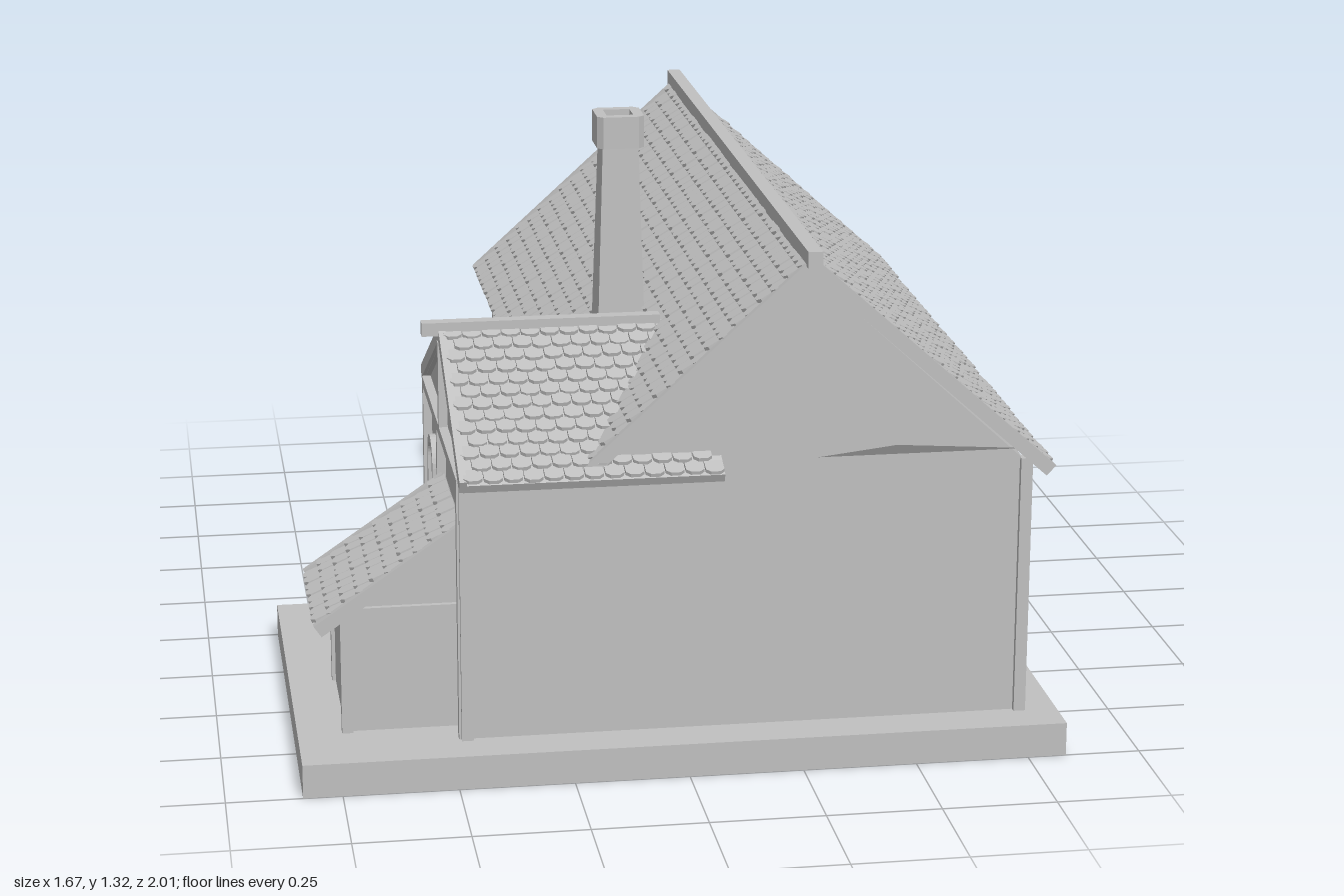
import * as THREE from 'three';
import { mergeGeometries } from 'three/addons/utils/BufferGeometryUtils.js';

const stone = new THREE.MeshStandardMaterial({ color: 0xc0c0c0, flatShading: true });
stone.name = 'paleGrey';

let seed = 7;
const rand = () => (seed = (seed * 16807) % 2147483647) / 2147483647;

function add(parent, name, geo, x = 0, y = 0, z = 0) {
  const m = new THREE.Mesh(geo, stone);
  m.name = name;
  m.position.set(x, y, z);
  parent.add(m);
  return m;
}
const box = (parent, name, w, h, d, x, y, z) => add(parent, name, new THREE.BoxGeometry(w, h, d), x, y, z);

// bar in the wall plane between two points
function beam(parent, name, x1, y1, x2, y2, t = 0.022, d = 0.02) {
  const m = box(parent, name, Math.hypot(x2 - x1, y2 - y1), t, d, (x1 + x2) / 2, (y1 + y2) / 2, d / 2);
  m.rotation.z = Math.atan2(y2 - y1, x2 - x1);
}

const polygon = pts => new THREE.Shape(pts.map(p => new THREE.Vector2(...p)));
const extrude = (shape, depth) => new THREE.ExtrudeGeometry(shape, { depth, bevelEnabled: false, curveSegments: 8 });

function group(parent, name, x = 0, y = 0, z = 0, ry = 0) {
  const g = new THREE.Group();
  g.name = name;
  g.position.set(x, y, z);
  g.rotation.y = ry;
  parent.add(g);
  return g;
}

// one roof slope: boards, rounded shingles and edge trims; z runs down the slope
function roofSlope(parent, name, width, run, drop, x, y, z, ry, trims = [-1, 1]) {
  const g = group(parent, name, x, y, z);
  g.rotation.set(Math.atan2(drop, run), ry, 0, 'YXZ');
  const len = Math.hypot(run, drop);
  box(g, 'roofBoards', width, 0.02, len, 0, -0.02, len / 2);
  const rows = Math.round(len / 0.037), cols = Math.round(width / 0.042);
  const pitch = len / rows, cw = width / cols, hw = cw * 0.46;
  const s = new THREE.Shape();
  s.moveTo(-hw, -pitch * 0.6);
  s.lineTo(hw, -pitch * 0.6);
  s.lineTo(hw, pitch * 0.3);
  s.lineTo(hw * 0.5, pitch * 0.55);
  s.lineTo(-hw * 0.5, pitch * 0.55);
  s.lineTo(-hw, pitch * 0.3);
  const tile = extrude(s, 0.008).rotateX(Math.PI / 2 - 0.2);
  const tiles = [];
  for (let r = 0; r < rows; r++) {
    const odd = r % 2;
    for (let c = 0; c < cols - odd; c++) {
      tiles.push(tile.clone().translate(-width / 2 + (c + 0.5 + odd / 2) * cw, rand() * 0.004 - 0.002, (r + 0.5) * pitch));
    }
  }
  add(g, 'shingles', mergeGeometries(tiles));
  for (const t of trims) box(g, 'edgeTrim', 0.016, 0.03, len, t * width / 2, -0.014, len / 2);
}

// courses of irregular stones on a wall plane
function stonework(parent, x1, x2, y1, y2) {
  const list = [], rows = Math.round((y2 - y1) / 0.04), h = (y2 - y1) / rows;
  for (let r = 0; r < rows; r++) {
    let x = x1;
    while (x < x2 - 0.01) {
      const w = Math.min(0.05 + rand() * 0.045, x2 - x), d = 0.01 + rand() * 0.006;
      list.push(new THREE.BoxGeometry(w - 0.006, h - 0.006, d).translate(x + w / 2, y1 + (r + 0.5) * h, d / 2));
      x += w;
    }
  }
  add(parent, 'stonework', mergeGeometries(list));
}

// outline with a round head, base at y = 0
function arch(target, w, h) {
  target.moveTo(-w / 2, 0);
  target.lineTo(w / 2, 0);
  target.lineTo(w / 2, h - w / 2);
  target.absarc(0, h - w / 2, w / 2, 0, Math.PI, false);
  target.lineTo(-w / 2, 0);
  return target;
}
function archedWindow(parent, x, y, w, h) {
  const g = group(parent, 'archedWindow', x, y, 0);
  const frame = arch(new THREE.Shape(), w, h);
  const hole = new THREE.Path(arch(new THREE.Shape(), w - 0.036, h - 0.036).getPoints(8).map(p => p.setY(p.y + 0.018)).reverse());
  frame.holes.push(hole);
  add(g, 'windowFrame', extrude(frame, 0.02));
  add(g, 'pane', extrude(arch(new THREE.Shape(), w - 0.02, h - 0.01), 0.005));
  box(g, 'mullion', 0.009, h - 0.02, 0.012, 0, h / 2, 0.006);
  for (const k of [0.33, 0.62]) box(g, 'glazingBar', w - 0.03, 0.008, 0.012, 0, h * k, 0.006);
  box(g, 'sill', w + 0.02, 0.014, 0.03, 0, 0, 0.015);
}

export function createModel() {
  const house = new THREE.Group();
  house.name = 'cottage';

  // L-shaped foundation and steps
  const base = polygon([[-0.835, -1], [0.835, -1], [0.835, 0.955], [-0.14, 0.955], [-0.14, 0], [-0.835, 0]]);
  add(house, 'foundation', extrude(base, 0.075).rotateX(-Math.PI / 2));
  for (let i = 0; i < 3; i++) box(house, 'step', 0.215, 0.012, 0.036, -0.615, 0.062 - i * 0.02, -0.018 - i * 0.033);

  // wall masses
  add(house, 'mainWalls', extrude(polygon([[-0.12, 0.07], [0.75, 0.07], [0.75, 0.65], [0.27, 1.085], [-0.12, 0.731]]), 1.75), 0, 0, -0.85);
  add(house, 'frontGable', extrude(polygon([[-0.21, 0.655], [0.75, 0.65], [0.27, 1.09]]), 0.025), 0, 0, 0.877);
  add(house, 'sideWingWalls', extrude(polygon([[0.12, 0.07], [0.9, 0.07], [0.9, 0.67], [0.515, 0.86], [0.12, 0.665]]), 0.57).rotateY(-Math.PI / 2), 0.1);
  add(house, 'leanToWalls', extrude(polygon([[-0.73, 0.07], [-0.46, 0.07], [-0.46, 0.52], [-0.73, 0.335]]), 0.32), 0, 0, 0.5);
  const sliver = new THREE.BufferGeometry();
  sliver.setAttribute('position', new THREE.Float32BufferAttribute(
    [0.29, 0.68, 0.903, 0.75, 0.68, 0.903, 0.46, 0.705, 0.918], 3));
  sliver.computeVertexNormals();
  add(house, 'gableSliver', sliver);

  // roofs and ridge beams
  roofSlope(house, 'mainRoofRight', 1.84, 0.54, 0.485, 0.27, 1.13, 0, Math.PI / 2);
  roofSlope(house, 'mainRoofLeft', 1.84, 0.53, 0.48, 0.27, 1.13, 0, -Math.PI / 2);
  box(house, 'mainRidge', 0.032, 0.036, 1.9, 0.27, 1.13, 0);
  roofSlope(house, 'wingRoofFront', 0.56, 0.445, 0.218, -0.2, 0.895, 0.515, 0, [-1]);
  roofSlope(house, 'wingRoofBack', 0.56, 0.445, 0.218, -0.2, 0.895, 0.515, Math.PI, [1]);
  box(house, 'wingRidge', 0.53, 0.03, 0.03, -0.26, 0.892, 0.515);
  roofSlope(house, 'leanToRoof', 0.36, 0.315, 0.215, -0.48, 0.545, 0.66, -Math.PI / 2);

  // tapered chimney with a hollow cap
  const shaft = new THREE.CylinderGeometry(0.057, 0.083, 0.6, 4).rotateY(Math.PI / 4);
  add(house, 'chimneyShaft', shaft, -0.058, 0.95, 0.315);
  const cap = polygon([[-0.053, -0.04], [-0.04, -0.053], [0.04, -0.053], [0.053, -0.04], [0.053, 0.04], [0.04, 0.053], [-0.04, 0.053], [-0.053, 0.04]]);
  cap.holes.push(new THREE.Path(polygon([[-0.03, -0.03], [-0.03, 0.03], [0.03, 0.03], [0.03, -0.03]]).getPoints()));
  add(house, 'chimneyCap', extrude(cap, 0.072).rotateX(-Math.PI / 2), -0.058, 1.248, 0.315);

  // corner posts
  for (const [x, z] of [[0.75, 0.9], [0.75, -0.84], [-0.472, 0.9], [-0.472, 0.125]]) {
    box(house, 'cornerPost', 0.026, 0.59, 0.026, x, 0.365, z);
  }
  box(house, 'eavePost', 0.024, 0.68, 0.024, -0.2, 0.345, -0.915);
  box(house, 'postTie', 0.1, 0.02, 0.02, -0.16, 0.36, -0.9);
  box(house, 'eavePlate', 0.02, 0.02, 0.98, -0.2, 0.665, -0.43);

  // back gable: local x runs toward world -x
  const back = group(house, 'backGableFrame', 0, 0, -0.85, Math.PI);
  stonework(back, -0.74, 0.12, 0.08, 0.355);
  const roofAt = x => 1.08 - 0.907 * Math.abs(x + 0.27);
  for (const x of [-0.74, -0.5, -0.28, -0.07, 0.11]) beam(back, 'gablePost', x, 0.075, x, roofAt(x));
  beam(back, 'gableRail', -0.75, 0.365, 0.12, 0.365);
  beam(back, 'gableTie', -0.75, 0.655, -0.28, 0.655);
  beam(back, 'gableBrace', -0.07, 0.6, 0.11, 0.38);
  beam(back, 'gableBrace', -0.07, 0.63, 0.11, 0.63);

  // bay window on the back gable
  const bay = group(back, 'bayWindow', -0.145, 0, 0);
  const side = polygon([[0, 0.36], [0.08, 0.4], [0.125, 0.44], [0.125, 0.67], [0, 0.74]]);
  add(bay, 'bayBody', extrude(side, 0.15).rotateY(-Math.PI / 2), 0.075);
  const hood = box(bay, 'bayRoof', 0.18, 0.014, 0.165, 0, 0.72, 0.085);
  hood.rotation.x = 0.72;
  box(bay, 'baySill', 0.17, 0.016, 0.14, 0, 0.435, 0.075);
  archedWindow(group(bay, 'bayOpening', 0, 0, 0.125), 0, 0.465, 0.1, 0.18);

  // long wall in the courtyard: local x is world z
  const yard = group(house, 'courtyardWall', -0.12, 0, 0, -Math.PI / 2);
  stonework(yard, -0.9, 0.12, 0.08, 0.345);
  box(yard, 'wallEnd', 0.05, 0.28, 0.02, -0.875, 0.215, -0.01);
  beam(yard, 'sillRail', -0.85, 0.36, 0.12, 0.36);
  beam(yard, 'topRail', -0.85, 0.62, 0.12, 0.62);
  for (const x of [-0.83, -0.55, -0.27, 0.105]) beam(yard, 'wallPost', x, 0.075, x, 0.7);
  beam(yard, 'wallBrace', -0.82, 0.58, -0.57, 0.38);
  for (const x of [-0.15, 0.01]) archedWindow(yard, x, 0.375, 0.12, 0.19);

  // side wing gable
  const wing = group(house, 'wingGableFrame', -0.47, 0, 0, -Math.PI / 2);
  for (const x of [0.13, 0.46, 0.89]) beam(wing, 'wingPost', x, 0.075, x, 0.66);
  beam(wing, 'wingRail', 0.13, 0.35, 0.48, 0.35);
  beam(wing, 'wingTie', 0.12, 0.655, 0.9, 0.655);
  beam(wing, 'wingKingPost', 0.515, 0.65, 0.515, 0.86);
  archedWindow(wing, 0.29, 0.395, 0.125, 0.18);

  // side wing wall facing the courtyard, with a slatted hatch
  const inner = group(house, 'wingBackFrame', 0, 0, 0.12, Math.PI);
  beam(inner, 'innerRail', 0.12, 0.35, 0.47, 0.35);
  beam(inner, 'innerTie', 0.12, 0.64, 0.47, 0.64);
  for (const y of [0.11, 0.275]) beam(inner, 'hatchFrame', 0.2, y, 0.43, y, 0.018, 0.026);
  for (const x of [0.2, 0.43]) beam(inner, 'hatchFrame', x, 0.101, x, 0.284, 0.018, 0.026);
  for (const y of [0.15, 0.192, 0.234]) beam(inner, 'hatchSlat', 0.21, y, 0.42, y, 0.024, 0.014);

  // lean-to timbers
  for (const z of [0.5, 0.82]) {
    box(house, 'leanToPost', 0.024, 0.27, 0.024, -0.726, 0.21, z);
    box(house, 'leanToTie', 0.26, 0.018, 0.024, -0.6, 0.352, z);
  }
  box(house, 'leanToPlate', 0.024, 0.018, 0.33, -0.73, 0.335, 0.66);

  // arched door with a ring of stones
  const door = group(house, 'archedDoor', -0.6, 0.075, 0.5, Math.PI);
  add(door, 'doorLeaf', extrude(arch(new THREE.Shape(), 0.12, 0.2), 0.012));
  for (const x of [-0.03, 0, 0.03]) box(door, 'doorBoard', 0.024, 0.17, 0.008, x, 0.085, 0.013);
  for (let i = 0; i < 9; i++) {
    const a = (i + 0.5) / 9 * Math.PI;
    const v = box(door, 'archStone', 0.03, 0.024, 0.035, Math.cos(a) * 0.07, 0.14 + Math.sin(a) * 0.07, 0.017);
    v.rotation.z = a;
  }
  for (const s of [-1, 1]) for (let i = 0; i < 4; i++) {
    box(door, 'jambStone', i % 2 ? 0.026 : 0.032, 0.031, 0.035, s * 0.07, 0.018 + i * 0.034, 0.017);
  }
  return house;
}
